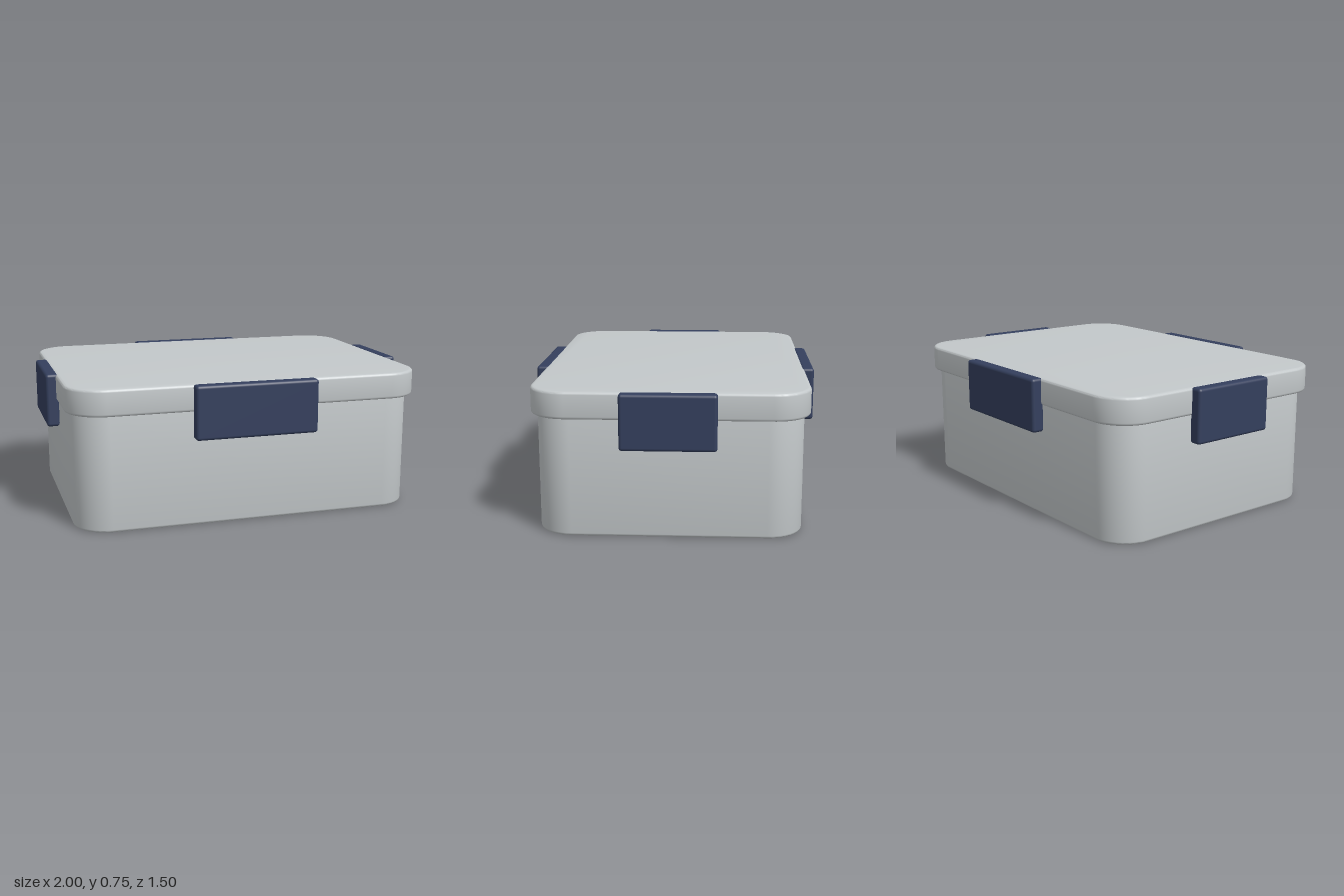
import * as THREE from 'three';
import { toCreasedNormals } from 'three/addons/utils/BufferGeometryUtils.js';
import { RoundedBoxGeometry } from 'three/addons/geometries/RoundedBoxGeometry.js';

// Upright slab with rounded corners and softly bevelled rims, from y0 to y1
function roundedSlab(halfX, halfZ, radius, y0, y1, bevel) {
  const s = new THREE.Shape();
  s.moveTo(halfX - radius, -halfZ);
  s.absarc(halfX - radius, -halfZ + radius, radius, -Math.PI / 2, 0);
  s.absarc(halfX - radius, halfZ - radius, radius, 0, Math.PI / 2);
  s.absarc(-halfX + radius, halfZ - radius, radius, Math.PI / 2, Math.PI);
  s.absarc(-halfX + radius, -halfZ + radius, radius, Math.PI, Math.PI * 1.5);
  s.closePath();
  const geometry = new THREE.ExtrudeGeometry(s, {
    depth: y1 - y0 - 2 * bevel,
    curveSegments: 12,
    bevelEnabled: true,
    bevelThickness: bevel,
    bevelSize: bevel,
    bevelOffset: -bevel,
    bevelSegments: 4,
  });
  geometry.rotateX(-Math.PI / 2);
  geometry.translate(0, y0 + bevel, 0);
  return toCreasedNormals(geometry, 0.6);
}

export function createModel() {
  const group = new THREE.Group();
  group.name = 'lunchBox';
  const grey = new THREE.MeshStandardMaterial({ color: 0xc3c8ca });
  grey.name = 'light grey';
  const navy = new THREE.MeshStandardMaterial({ color: 0x343f5d });
  navy.name = 'navy blue';

  const add = (name, geometry, material, x = 0, y = 0, z = 0) => {
    const mesh = new THREE.Mesh(geometry, material);
    mesh.name = name;
    mesh.position.set(x, y, z);
    group.add(mesh);
  };

  // Container and overhanging lid
  add('container', roundedSlab(0.917, 0.667, 0.18, 0, 0.615, 0.015), grey);
  add('lid', roundedSlab(0.947, 0.697, 0.19, 0.605, 0.743, 0.015), grey);

  // Clip-down latches on all four sides
  const longLatch = new RoundedBoxGeometry(0.65, 0.28, 0.067, 4, 0.016);
  const shortLatch = new RoundedBoxGeometry(0.067, 0.28, 0.475, 4, 0.016);
  const latchY = 0.605;
  add('frontLatch', longLatch, navy, 0, latchY, 0.7145);
  add('backLatch', longLatch, navy, 0, latchY, -0.7145);
  add('leftLatch', shortLatch, navy, 0.9665, latchY, 0);
  add('rightLatch', shortLatch, navy, -0.9665, latchY, 0);

  return group;
}
